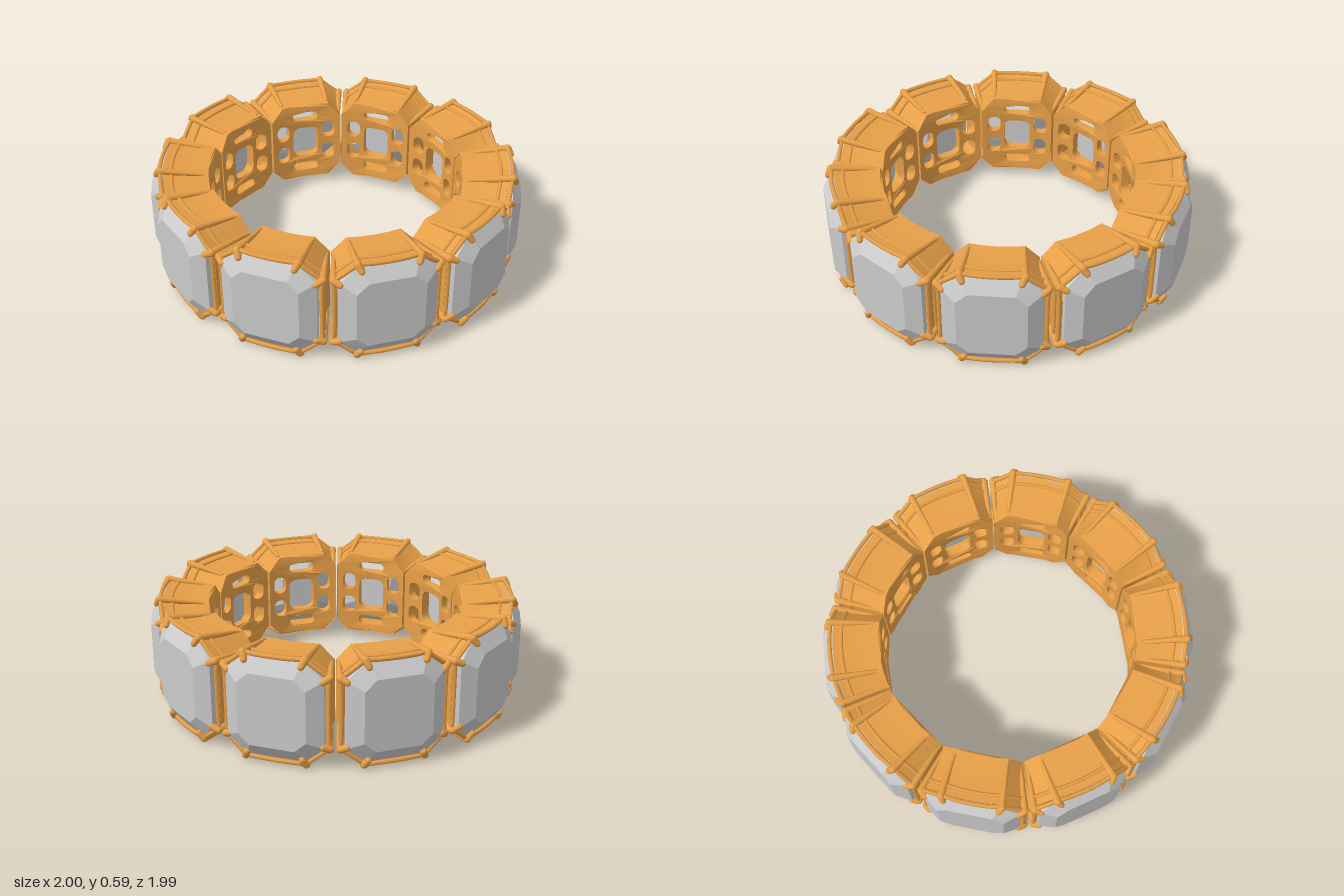
import * as THREE from 'three';
import { toCreasedNormals } from 'three/addons/utils/BufferGeometryUtils.js';

const V = (x, y, z) => new THREE.Vector3(x, y, z);
const COUNT = 10;

// wraps a point given at radius r onto the band's curve
const bend = (x, y, r) => V(x, y, Math.sqrt(r * r - x * x));
const flat = (x, y, r) => V(x, y, r);

// cut-corner rectangle, anticlockwise, each edge split into n:
// half width, half height, half of the top edge, half of the side edge
function octagon([hw, hh, top, side], n = 1) {
  const c = [[hw, -side], [hw, side], [top, hh], [-top, hh],
    [-hw, side], [-hw, -side], [-top, -hh], [top, -hh]];
  const out = [];
  c.forEach(([x, y], i) => {
    const [u, v] = c[(i + 1) % 8];
    for (let k = 0; k < n; k++) out.push([x + (u - x) * k / n, y + (v - y) * k / n]);
  });
  return out;
}

// skin through sections [radius, hw, hh, top, side]
function loft(sections, n, place, caps) {
  const rings = sections.map(([r, ...s]) => octagon(s, n).map(([x, y]) => place(x, y, r)));
  const tri = [];
  const m = rings[0].length;
  for (let i = 0; i < rings.length - 1; i++) {
    for (let j = 0; j < m; j++) {
      const k = (j + 1) % m;
      const a = rings[i][j], b = rings[i][k], c = rings[i + 1][k], d = rings[i + 1][j];
      tri.push(a, b, c, a, c, d);
    }
  }
  if (caps) {
    const first = rings[0], last = rings[rings.length - 1];
    for (let j = 1; j < m - 1; j++) {
      tri.push(last[0], last[j], last[j + 1], first[0], first[j + 1], first[j]);
    }
  }
  const g = new THREE.BufferGeometry().setFromPoints(tri);
  g.computeVertexNormals();
  return g;
}

// pierced plate lying against the finger
function plateGeometry() {
  const outline = octagon([0.207, 0.247, 0.138, 0.168], 6).map(([x, y]) => new THREE.Vector2(x, y));
  const shape = new THREE.Shape(outline);
  const slot = (cx, cy, w, h, r) => {
    const p = new THREE.Path();
    p.absarc(cx + w - r, cy + h - r, r, 0, Math.PI / 2);
    p.absarc(cx - w + r, cy + h - r, r, Math.PI / 2, Math.PI);
    p.absarc(cx - w + r, cy - h + r, r, Math.PI, Math.PI * 1.5);
    p.absarc(cx + w - r, cy - h + r, r, Math.PI * 1.5, Math.PI * 2);
    p.closePath();
    shape.holes.push(p);
  };
  slot(0, 0, 0.076, 0.095, 0.04);
  for (const sy of [-1, 1]) {
    slot(0, sy * 0.172, 0.076, 0.027, 0.025);
    for (const sx of [-1, 1]) slot(sx * 0.138, sy * 0.073, 0.038, 0.05, 0.034);
  }
  const g = new THREE.ExtrudeGeometry(shape, { depth: 0.045, bevelEnabled: false, curveSegments: 5 });
  const p = g.attributes.position;
  for (let i = 0; i < p.count; i++) {
    const q = bend(p.getX(i), p.getY(i), 0.69 + p.getZ(i));
    p.setXYZ(i, q.x, q.y, q.z);
  }
  return toCreasedNormals(g, 0.6);
}

// thin wire following the cut-corner outline
function railGeometry(r, section, radius) {
  const pts = octagon(section, 5).map(([x, y]) => bend(x, y, r));
  return new THREE.TubeGeometry(new THREE.CatmullRomCurve3(pts, true), 80, radius, 6, true);
}

// tapered round bar from a to b
function bar(a, b, ra, rb, material) {
  const d = b.clone().sub(a);
  const m = new THREE.Mesh(new THREE.CylinderGeometry(rb, ra, d.length(), 10), material);
  m.position.copy(a).add(b).multiplyScalar(0.5);
  m.quaternion.setFromUnitVectors(V(0, 1, 0), d.normalize());
  return m;
}

export function createModel() {
  const gold = new THREE.MeshStandardMaterial({ color: 0xe8a048 });
  const goldShell = new THREE.MeshStandardMaterial({ color: 0xe8a048, side: THREE.DoubleSide });
  const gem = new THREE.MeshStandardMaterial({ color: 0xcccccc, flatShading: true });

  const unit = new THREE.Group();
  const add = (name, geometry, material) => {
    const m = new THREE.Mesh(geometry, material);
    m.name = name;
    unit.add(m);
  };

  // step-cut stone: pavilion, girdle, crown, table
  add('stone', loft([
    [0.76, 0.1, 0.12, 0.06, 0.08],
    [0.915, 0.25, 0.265, 0.15, 0.18],
    [0.935, 0.25, 0.265, 0.15, 0.18],
    [0.988, 0.175, 0.19, 0.115, 0.135],
  ], 1, flat, true), gem);

  // flared basket wall with an inner face
  add('basketWall', toCreasedNormals(loft([
    [0.69, 0.21, 0.25, 0.14, 0.17],
    [0.78, 0.222, 0.252, 0.144, 0.173],
    [0.87, 0.24, 0.26, 0.148, 0.178],
    [0.93, 0.262, 0.272, 0.155, 0.185],
    [0.93, 0.248, 0.26, 0.148, 0.178],
    [0.87, 0.225, 0.245, 0.138, 0.166],
    [0.72, 0.198, 0.238, 0.132, 0.16],
  ], 4, bend, false), 0.4), goldShell);

  add('basketPlate', plateGeometry(), gold);
  add('upperRail', railGeometry(0.945, [0.264, 0.274, 0.156, 0.186], 0.012), gold);
  add('lowerRail', railGeometry(0.885, [0.25, 0.264, 0.15, 0.18], 0.01), gold);

  // eight tapered prongs, each with a claw leaning over the stone
  const feet = octagon([0.205, 0.246, 0.137, 0.168]);
  const tips = octagon([0.27, 0.276, 0.157, 0.188]);
  const claws = octagon([0.243, 0.246, 0.143, 0.172]);
  feet.forEach(([x, y], i) => {
    const prong = new THREE.Group();
    prong.name = 'prong';
    const foot = bend(x, y, 0.715);
    const tip = bend(...tips[i], 0.95);
    const claw = bend(...claws[i], 0.966);
    prong.add(bar(foot, tip, 0.01, 0.02, gold), bar(tip, claw, 0.02, 0.017, gold));
    for (const [p, r] of [[tip, 0.02], [claw, 0.017]]) {
      const ball = new THREE.Mesh(new THREE.SphereGeometry(r, 10, 6), gold);
      ball.position.copy(p);
      prong.add(ball);
    }
    unit.add(prong);
  });

  // ring of identical settings
  const ring = new THREE.Group();
  ring.name = 'ring';
  for (let i = 0; i < COUNT; i++) {
    const setting = unit.clone();
    setting.name = 'stoneSetting';
    setting.position.y = 0.297;
    setting.rotation.y = THREE.MathUtils.degToRad(2 + i * 360 / COUNT);
    ring.add(setting);
  }
  return ring;
}
